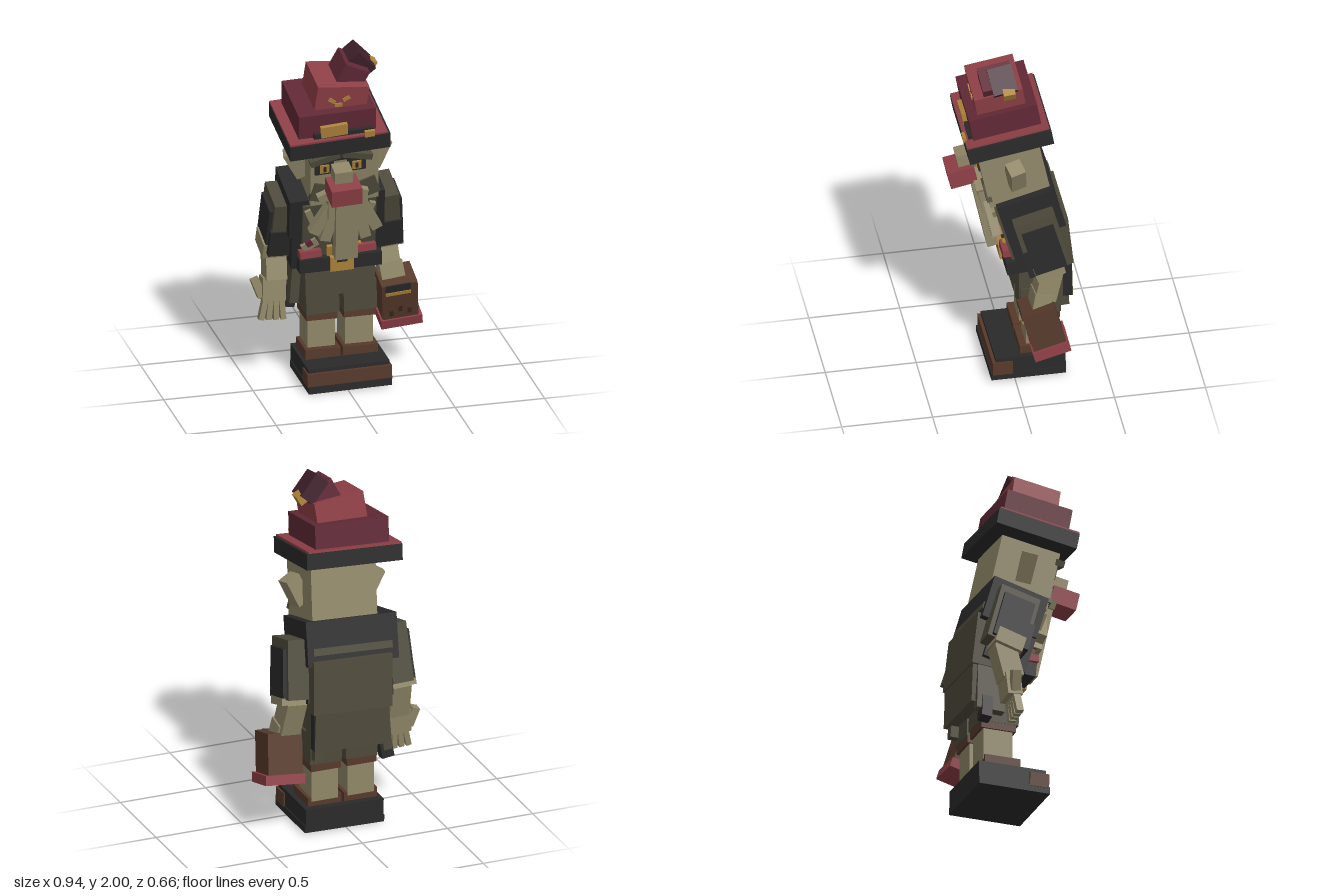
import * as THREE from 'three';

const mat = (name, color) => {
  const m = new THREE.MeshStandardMaterial({ color });
  m.name = name;
  return m;
};
const black = mat('black', 0x2b2a2b), olive = mat('olive', 0x4e4a3b), tan = mat('tan', 0x908768),
  red = mat('red', 0x8e3f46), wine = mat('wine', 0x602936), plum = mat('plum', 0x3f1f2a),
  brown = mat('brown', 0x573a2b), gold = mat('gold', 0xae833a), darkBrown = mat('dark brown', 0x3c281c);

// Adds a box: size, centre, Euler rotation
function box(parent, name, material, size, pos, rot = [0, 0, 0]) {
  const mesh = new THREE.Mesh(new THREE.BoxGeometry(...size), material);
  mesh.name = name;
  mesh.position.set(...pos);
  mesh.rotation.set(...rot);
  parent.add(mesh);
}

// Adds a tilted frame that holds related boxes
function frame(parent, name, pos, rot) {
  const g = new THREE.Group();
  g.name = name;
  g.position.set(...pos);
  g.rotation.set(...rot);
  parent.add(g);
  return g;
}

function buildLegs(root) {
  const base = frame(root, 'base', [0.01, 0.07, -0.075], [0, 0, 0.02]);
  box(base, 'sole', black, [0.465, 0.04, 0.41], [0, -0.045, 0]);
  box(base, 'shoeBlock', black, [0.455, 0.1, 0.385], [0, 0.02, -0.012]);
  box(base, 'toeCap', brown, [0.472, 0.08, 0.11], [0, 0.008, 0.143]);
  for (const x of [-0.1, 0.11]) {
    box(root, 'ankleCuff', brown, [0.195, 0.055, 0.205], [x, 0.163, -0.135]);
    box(root, 'leg', tan, [0.155, 0.2, 0.17], [x, 0.27, -0.155]);
    box(root, 'kneeCuff', brown, [0.175, 0.055, 0.2], [x, 0.38, -0.155]);
    box(root, 'trouserLeg', olive, [0.185, 0.17, 0.22], [x, 0.48, -0.15], [0, 0, 0.03]);
  }
  box(root, 'hips', olive, [0.39, 0.19, 0.27], [-0.005, 0.6, -0.165], [0, 0, 0.03]);
}

function buildTorso(root) {
  const t = frame(root, 'torso', [-0.04, 0.95, -0.12], [0.27, 0, 0.05]);
  box(t, 'yoke', black, [0.53, 0.25, 0.325], [0, 0.105, -0.007]);
  box(t, 'coat', black, [0.5, 0.24, 0.25], [0, -0.11, 0.03]);
  box(t, 'shirtFront', olive, [0.41, 0.38, 0.03], [0.01, 0.01, 0.155]);
  box(t, 'yokeStrip', olive, [0.46, 0.04, 0.02], [0, 0.06, -0.165]);
  for (const s of [-1, 1]) {
    box(t, 'shirtTrim', tan, [0.035, 0.13, 0.03], [s * 0.16 + 0.01, 0.12, 0.175], [0, 0, -s * 0.35]);
    box(t, 'goldTrim', gold, [0.03, 0.075, 0.02], [s * 0.08 + 0.035, -0.12, 0.18]);
  }
  box(t, 'badge', tan, [0.09, 0.05, 0.02], [-0.155, -0.06, 0.175], [0, 0, 0.5]);
  box(t, 'badgeCentre', wine, [0.035, 0.035, 0.02], [-0.16, -0.045, 0.18], [0, 0, 0.5]);
  // Long back of the coat
  box(root, 'backPanel', olive, [0.46, 0.3, 0.18], [-0.025, 0.85, -0.225], [0.1, 0, 0.04]);
  box(root, 'backSkirt', olive, [0.43, 0.26, 0.13], [-0.015, 0.62, -0.258], [0.02, 0, 0.04]);
  box(root, 'coatTail', black, [0.07, 0.13, 0.06], [-0.235, 0.44, -0.25], [0.1, 0, -0.15]);
  box(root, 'coatTail', black, [0.06, 0.22, 0.05], [0.175, 0.61, -0.295]);
  for (const s of [-1, 1])
    box(root, 'sidePanel', olive, [0.05, 0.28, 0.16], [s * 0.195 - 0.03, 0.57, -0.22], [0.05, 0, s * 0.06]);
  // Belt
  box(root, 'belt', black, [0.46, 0.08, 0.26], [-0.02, 0.73, -0.09], [0.1, 0, 0.02]);
  for (const [x, y] of [[-0.19, 0.788], [0.115, 0.797]])
    box(root, 'sash', red, [0.12, 0.04, 0.06], [x, y, 0.025], [0, 0, 0.05]);
  box(root, 'buckle', gold, [0.13, 0.085, 0.03], [-0.015, 0.718, 0.037], [0.1, 0, 0.03]);
  box(root, 'buckleSlot', black, [0.06, 0.012, 0.008], [-0.015, 0.735, 0.051], [0.1, 0, 0.03]);
}

function buildArms(root) {
  for (const [s, x, roll] of [[1, 0.27, 0.1], [-1, -0.325, -0.03]]) {
    const arm = frame(root, 'sleeve', [x, 0.94, -0.14], [0.27, 0, roll]);
    box(arm, 'upperSleeve', olive, [0.12, 0.33, 0.23], [0, 0, 0]);
    box(arm, 'sleevePlate', black, [0.06, 0.27, 0.18], [s * 0.05, -0.02, 0]);
    box(arm, 'sleeveBand', black, [0.14, 0.16, 0.12], [0, -0.085, 0.065]);
    const cx = x + s * 0.025;
    box(root, 'wristCuff', tan, [0.14, 0.09, 0.16], [cx, 0.79, -0.17], [0.3, 0, roll]);
    box(root, 'forearm', tan, [0.115, 0.2, 0.12], [cx - s * 0.01, 0.68, -0.17], [-0.25, 0, roll]);
  }
  // Open hand
  const hand = frame(root, 'openHand', [-0.352, 0.53, -0.15], [-0.1, 0, -0.05]);
  box(hand, 'palm', tan, [0.13, 0.13, 0.085], [0, 0, 0]);
  for (let i = 0; i < 4; i++)
    box(hand, 'finger', tan, [0.03, 0.13, 0.04], [-0.053 + i * 0.035, -0.11, 0.01], [0, 0, (i - 1.8) * 0.1]);
  box(hand, 'thumb', tan, [0.045, 0.11, 0.05], [-0.083, 0.005, 0], [0, 0, 0.4]);
  // Gripping hand and bag
  box(root, 'grippingHand', tan, [0.13, 0.09, 0.1], [0.3, 0.58, -0.13], [-0.2, 0, 0.15]);
  const bag = frame(root, 'bag', [0.334, 0.437, -0.132], [0.27, 0, 0.09]);
  box(bag, 'bagBody', brown, [0.2, 0.25, 0.185], [0, 0, 0]);
  box(bag, 'bagBottom', red, [0.23, 0.055, 0.205], [0.005, -0.13, 0]);
  box(bag, 'bagFlap', black, [0.14, 0.045, 0.008], [-0.01, 0.105, 0.094]);
  box(bag, 'bagClasp', gold, [0.14, 0.02, 0.02], [-0.01, 0.073, 0.092]);
  for (const [x, y] of [[-0.05, -0.065], [0.0, -0.04], [0.05, -0.06]])
    box(bag, 'bagMark', darkBrown, [0.022, 0.035, 0.008], [x, y, 0.092]);
}

function buildHead(root) {
  const h = frame(root, 'head', [-0.03, 1.35, -0.005], [0.2, 0, 0.05]);
  box(h, 'skull', tan, [0.38, 0.42, 0.34], [0, 0, 0]);
  box(h, 'browShadow', black, [0.32, 0.035, 0.02], [-0.02, 0.085, 0.165]);
  for (const s of [-1, 1]) {
    const x = s * 0.09 - 0.025;
    box(h, 'eyeSocket', black, [0.105, 0.085, 0.02], [x, 0.035, 0.17]);
    box(h, 'eye', gold, [0.052, 0.05, 0.02], [x, 0.03, 0.177]);
    box(h, 'pupil', black, [0.016, 0.03, 0.008], [x, 0.03, 0.188]);
    box(h, 'eyebrow', olive, [0.17, 0.035, 0.05], [x, 0.1, 0.18], [0, 0, -s * 0.25]);
    box(h, 'cheek', olive, [0.11, 0.11, 0.03], [s * 0.13, -0.13, 0.165], [0, 0, s * 0.3]);
    box(h, 'moustache', tan, [0.14, 0.05, 0.06], [s * 0.07 - 0.02, -0.125, 0.19], [0, 0, -s * 0.35]);
    box(h, 'ear', tan, [0.09, 0.165, 0.085], [s * 0.22, -0.025, -0.005], [0, s * 0.2, -s * 0.48]);
  }
  box(h, 'noseBridge', tan, [0.1, 0.07, 0.1], [-0.03, 0.02, 0.228]);
  box(h, 'nose', red, [0.17, 0.1, 0.15], [-0.03, -0.066, 0.272]);
  // Beard strands fanned around a long centre strand
  box(root, 'beardTop', tan, [0.22, 0.16, 0.08], [-0.01, 1.1, 0.12], [0.2, 0, 0.04]);
  box(root, 'centreStrand', tan, [0.125, 0.43, 0.06], [-0.015, 0.985, 0.13], [0.2, 0, 0.04]);
  for (const [dx, y, len, roll] of [[0.085, 1.0, 0.24, 0.25], [0.13, 1.02, 0.2, 0.5]])
    for (const s of [-1, 1])
      box(root, 'sideStrand', tan, [0.06, len, 0.05], [s * dx - 0.01, y, 0.105], [0.2, 0, s * roll]);
}

function buildHat(root) {
  const brim = frame(root, 'hatBrim', [-0.075, 1.525, 0.014], [0.175, 0, 0.055]);
  box(brim, 'brimBand', black, [0.56, 0.09, 0.47], [0, 0, 0]);
  box(brim, 'brimTop', red, [0.545, 0.02, 0.46], [-0.006, 0.045, 0.002]);
  box(brim, 'brimStud', gold, [0.055, 0.035, 0.02], [0.165, 0.06, 0.23]);
  const low = frame(root, 'hatLowerTier', [-0.085, 1.645, 0.032], [0.17, 0, 0.03]);
  box(low, 'lowerTier', wine, [0.43, 0.14, 0.38], [0, 0, 0]);
  box(low, 'hatBand', black, [0.33, 0.03, 0.03], [0.03, -0.055, 0.197]);
  box(low, 'hatPlate', gold, [0.15, 0.065, 0.03], [-0.022, -0.03, 0.2], [0, 0, 0.05]);
  const mid = frame(root, 'hatMiddleTier', [-0.052, 1.765, 0.055], [0.17, 0, -0.1]);
  box(mid, 'middleTier', red, [0.29, 0.15, 0.27], [0, 0, 0]);
  for (const [x, y, r] of [[-0.055, -0.01, -0.5], [-0.015, -0.035, 0.1], [0.025, 0.005, 0.6]])
    box(mid, 'hatStud', gold, [0.042, 0.022, 0.008], [x, y, 0.137], [0, 0, r]);
  box(root, 'upperTier', wine, [0.15, 0.13, 0.18], [0.018, 1.855, 0.06], [0.17, 0, -0.45]);
  box(root, 'hatTip', plum, [0.15, 0.09, 0.135], [0.078, 1.903, 0.04], [0.2, 0, -0.83]);
  box(root, 'hatBell', gold, [0.05, 0.06, 0.065], [0.147, 1.863, 0.016], [0.1, 0, -0.5]);
}

export function createModel() {
  const root = new THREE.Group();
  root.name = 'hattedFigure';
  for (const build of [buildLegs, buildTorso, buildArms, buildHead, buildHat]) build(root);
  return root;
}
